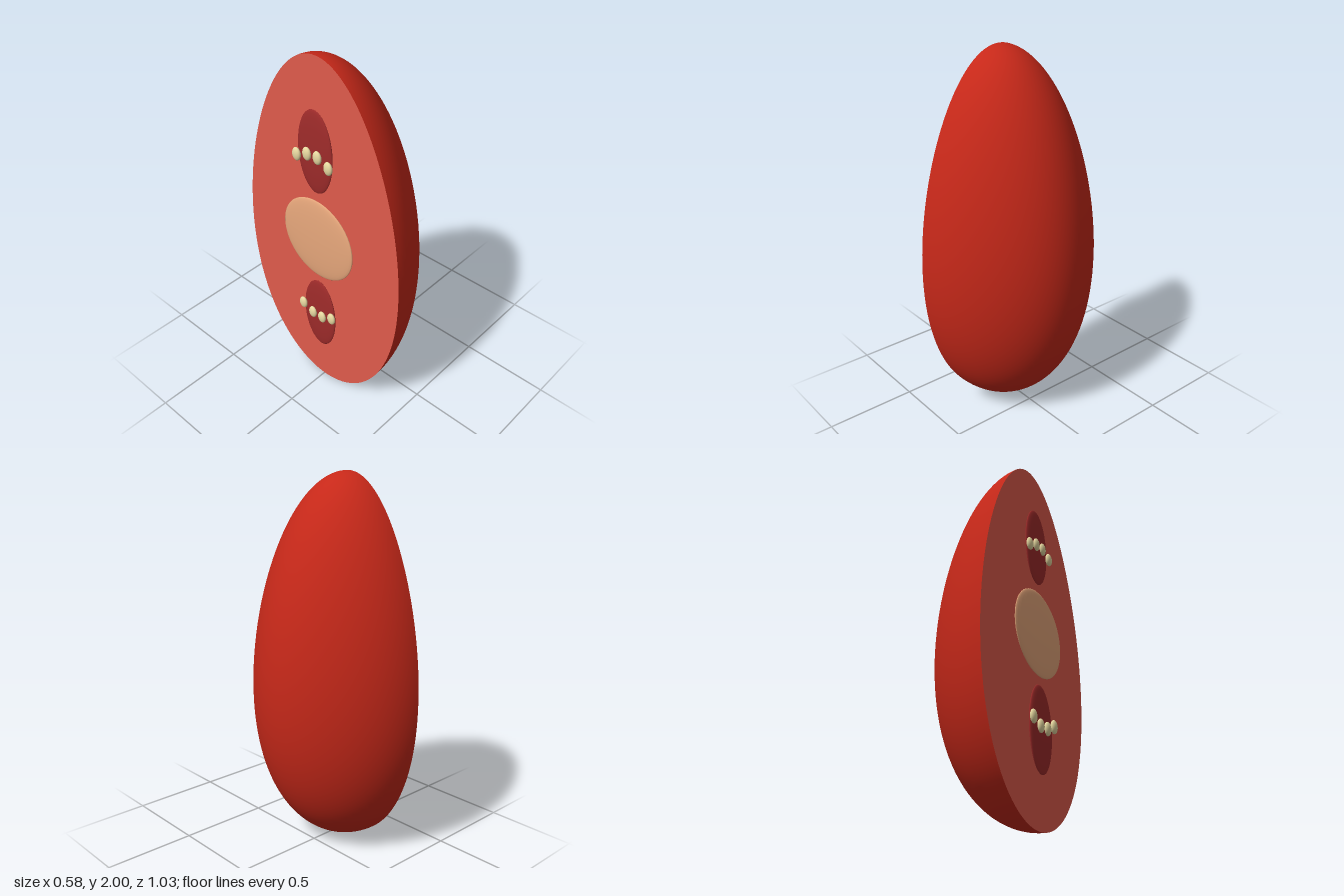
import * as THREE from 'three';

const CUT = -0.235; // x of the flat cut face

// egg radius for t from -1 (bottom) to 1 (top), relative to a unit circle
const eggScale = (t) => 0.5125 * (1 - 0.14 * t);

function material(name, color) {
  const m = new THREE.MeshStandardMaterial({ color });
  m.name = name;
  return m;
}

export function createModel() {
  const skin = material('red skin', 0xc62819);
  const flesh = material('pale red flesh', 0xe05b4c);
  const pith = material('tan core', 0xe8a87c);
  const pocketRed = material('dark red pocket', 0x9e2b2a);
  const seedCream = material('cream seed', 0xe6d8a0);

  const model = new THREE.Group();
  model.name = 'halvedFruit';
  const add = (name, geometry, mat, parent = model) => {
    const mesh = new THREE.Mesh(geometry, mat);
    mesh.name = name;
    parent.add(mesh);
    return mesh;
  };

  // outer skin: half a sphere reshaped into an egg that narrows slightly with depth
  const dome = new THREE.SphereGeometry(1, 64, 64, Math.PI / 2, Math.PI);
  const p = dome.attributes.position;
  for (let i = 0; i < p.count; i++) {
    const x = p.getX(i), y = p.getY(i), z = p.getZ(i);
    const r = eggScale(y);
    p.setXYZ(i, CUT + x * r * 1.008, 1 + y, z * r * (1 - 0.13 * x * x));
  }
  dome.computeVertexNormals();
  add('skin', dome, skin);

  // flat cut face facing -x
  const outline = [];
  for (let i = 0; i < 128; i++) {
    const a = (i / 128) * Math.PI * 2;
    const t = Math.sin(a);
    outline.push(new THREE.Vector2(Math.cos(a) * eggScale(t), 1 + t));
  }
  const face = new THREE.ShapeGeometry(new THREE.Shape(outline));
  face.rotateY(-Math.PI / 2);
  add('cutFace', face, flesh).position.x = CUT;

  // flattened lens shapes on the cut face
  const ball = new THREE.SphereGeometry(1, 32, 24);
  const lens = (name, mat, pos, radii, parent) => {
    const mesh = add(name, ball, mat, parent);
    mesh.position.set(...pos);
    mesh.scale.set(...radii);
  };
  lens('core', pith, [-0.255, 1, 0], [0.018, 0.238, 0.238]);

  // seed pockets, each with a row of four seeds
  const seedZ = [-0.105, -0.035, 0.033, 0.102];
  const pockets = [
    { name: 'upperPocket', y: 1.515, seeds: [1.475, 1.505, 1.51, 1.48] },
    { name: 'lowerPocket', y: 0.49, seeds: [0.52, 0.492, 0.495, 0.525] },
  ];
  for (const { name, y, seeds } of pockets) {
    const group = new THREE.Group();
    group.name = name;
    model.add(group);
    lens('pocket', pocketRed, [-0.254, y, 0], [0.017, 0.227, 0.112], group);
    seeds.forEach((sy, i) =>
      lens('seed', seedCream, [-0.275, sy, seedZ[i]], [0.015, 0.036, 0.026], group));
  }

  return model;
}
